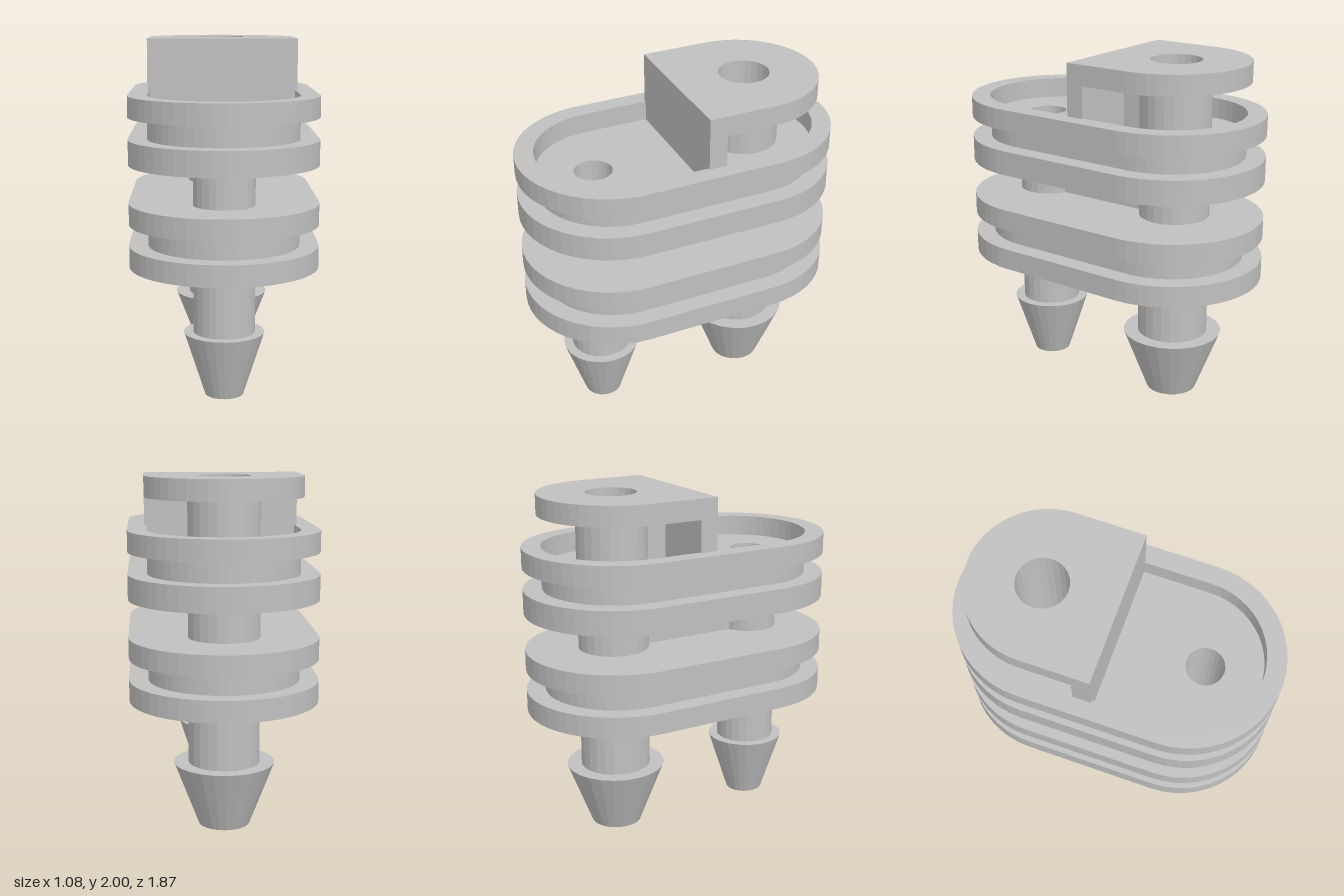
import * as THREE from 'three';

const FRONT = { z: 0.505, bore: 0.11, r: 0.175, barb: 0.23 };
const BACK = { z: -0.425, bore: 0.147, r: 0.205, barb: 0.29 };

export function createModel() {
  const model = new THREE.Group();
  model.name = 'twinTubeFitting';
  const grey = new THREE.MeshStandardMaterial({ color: 0xc0c0c0 });
  grey.name = 'light grey';

  const add = (name, geometry, x = 0, y = 0, z = 0) => {
    const mesh = new THREE.Mesh(geometry, grey);
    mesh.name = name;
    mesh.position.set(x, y, z);
    model.add(mesh);
  };

  // Rounded slot outline; shape y is -z
  const slot = (Type, r, c = 0.395) => {
    const s = new Type();
    s.absarc(0, c, r, 0, Math.PI, false);
    s.absarc(0, -c, r, Math.PI, 2 * Math.PI, false);
    s.closePath();
    return s;
  };
  const boreHole = (t) => new THREE.Path().absarc(0, -t.z, t.bore, 0, 2 * Math.PI, true);

  const plate = (name, shape, y0, y1) => {
    const g = new THREE.ExtrudeGeometry(shape, { depth: y1 - y0, bevelEnabled: false, curveSegments: 12 });
    g.rotateX(-Math.PI / 2);
    add(name, g, 0, y0, 0);
  };
  const boredSlot = (r) => {
    const s = slot(THREE.Shape, r);
    s.holes.push(boreHole(FRONT), boreHole(BACK));
    return s;
  };

  // Hollow faceted turned part from an outer profile
  const turned = (name, t, outer) => {
    const pts = [...outer, [t.bore, outer[outer.length - 1][1]], [t.bore, outer[0][1]]];
    const g = new THREE.LatheGeometry(pts.map((p) => new THREE.Vector2(...p)), 24).toNonIndexed();
    g.computeVertexNormals();
    add(name, g, 0, 0, t.z);
  };

  // Two grooved bodies; the upper one ends in an open tray
  plate('lowerBodyBottomFlange', boredSlot(0.54), 0.73, 0.853);
  plate('lowerBodyCore', boredSlot(0.43), 0.853, 0.975);
  plate('lowerBodyTopFlange', boredSlot(0.54), 0.975, 1.097);
  plate('upperBodyBottomFlange', boredSlot(0.54), 1.313, 1.456);
  plate('upperBodyCore', boredSlot(0.43), 1.456, 1.58);
  const rim = slot(THREE.Shape, 0.54);
  rim.holes.push(slot(THREE.Path, 0.43));
  plate('trayRim', rim, 1.58, 1.7);

  // Barbed stems below and plain tubes between the bodies
  for (const [side, t] of [['front', FRONT], ['back', BACK]]) {
    turned(side + 'BarbedStem', t, [[t.bore, 0], [t.barb, 0.37], [t.r, 0.37], [t.r, 0.73]]);
    turned(side + 'MiddleTube', t, [[t.bore, 1.097], [t.r, 1.097], [t.r, 1.313]]);
  }
  add('middleWeb', new THREE.BoxGeometry(0.11, 0.216, 0.61), 0, 1.205, 0.055);

  // Bracket over the back tube
  const cap = new THREE.Shape();
  cap.moveTo(-0.445, 0);
  cap.lineTo(0.445, 0);
  cap.absarc(0, 0.4, 0.445, 0, Math.PI, false);
  cap.closePath();
  cap.holes.push(boreHole(BACK));
  plate('bracketCap', cap, 1.883, 2);
  add('bracketWall', new THREE.BoxGeometry(0.89, 0.303, 0.105), 0, 1.7315, -0.0525);
  turned('bracketTube', BACK, [[BACK.bore, 1.58], [BACK.r, 1.58], [BACK.r, 1.883]]);
  add('bracketWeb', new THREE.BoxGeometry(0.11, 0.303, 0.155), 0, 1.7315, -0.1725);

  return model;
}
